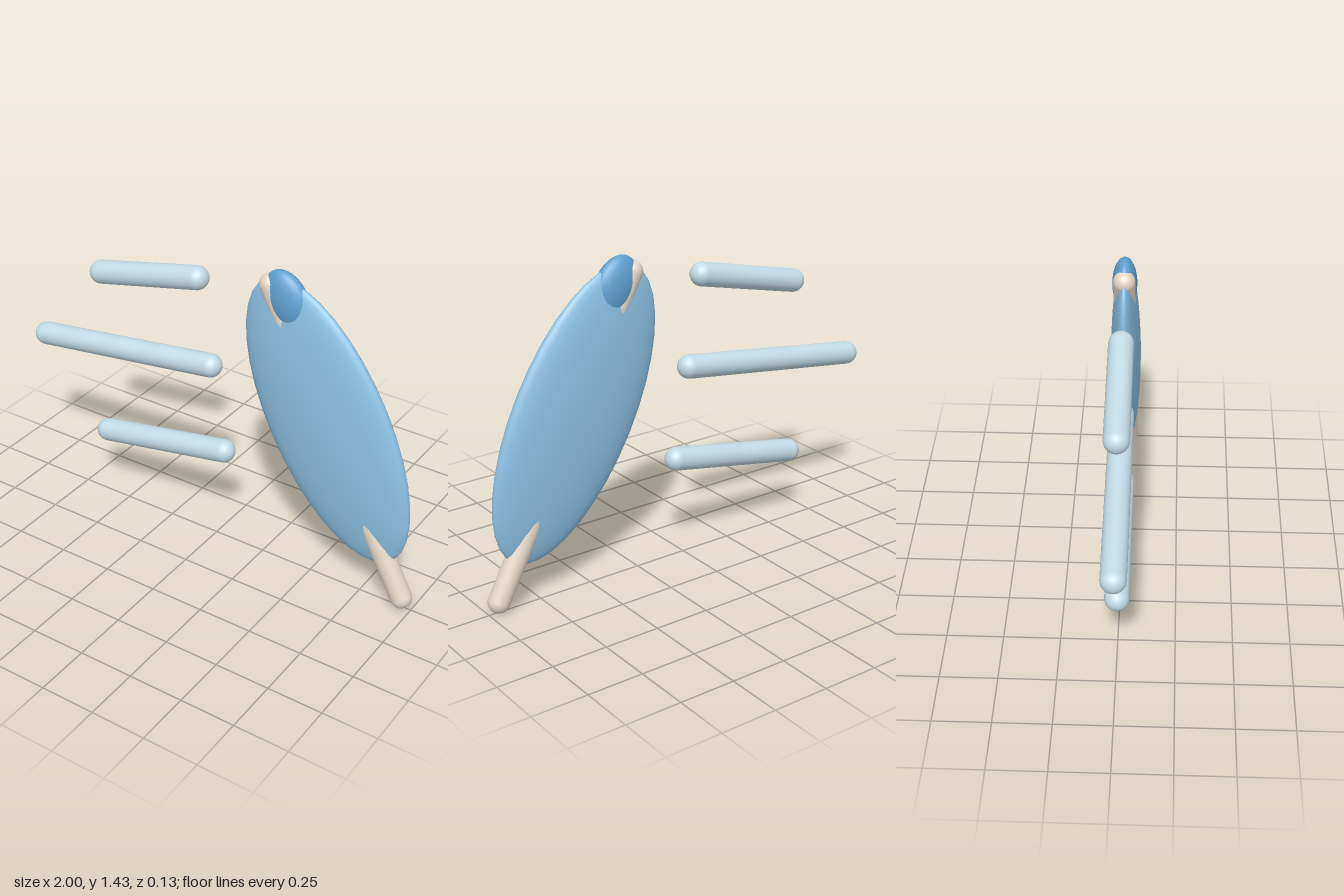
import * as THREE from 'three';

const mat = (name, color) => {
  const m = new THREE.MeshStandardMaterial({ color });
  m.name = name;
  return m;
};

export function createModel() {
  const vaneBlue = mat('vane blue', 0x8abfe2);
  const tipBlue = mat('tip blue', 0x5f9fd0);
  const shaftCream = mat('shaft cream', 0xe4d8c6);
  const windBlue = mat('pale wind blue', 0xc6dfea);

  const model = new THREE.Group();
  model.name = 'featherWithWindLines';
  const tilt = 0.477;

  // Flattened, tilted ellipsoid
  const ellipsoid = (name, material, x, y, sx, sy, sz) => {
    const mesh = new THREE.Mesh(new THREE.SphereGeometry(1, 28, 18), material);
    mesh.name = name;
    mesh.scale.set(sx, sy, sz);
    mesh.rotation.z = tilt;
    mesh.position.set(x, y, 0);
    model.add(mesh);
  };

  // Round-ended rod between the centres of its two caps
  const rod = (name, material, x1, y1, x2, y2, radius) => {
    const length = Math.hypot(x2 - x1, y2 - y1);
    const mesh = new THREE.Mesh(new THREE.CapsuleGeometry(radius, length, 8, 20), material);
    mesh.name = name;
    mesh.position.set((x1 + x2) / 2, (y1 + y2) / 2, 0);
    mesh.rotation.z = Math.atan2(y2 - y1, x2 - x1) - Math.PI / 2;
    model.add(mesh);
  };

  // Feather: vane, darker tip and the shaft running through both
  ellipsoid('vane', vaneBlue, 0.555, 0.79, 0.303, 0.666, 0.067);
  ellipsoid('darkTip', tipBlue, 0.345, 1.3, 0.1, 0.14, 0.054);
  rod('shaft', shaftCream, 0.95, 0.048, 0.262, 1.355, 0.048);

  // Wind lines trailing beside the feather
  const lines = [
    [-0.607, 1.165, -0.1, 1.28],
    [-0.947, 0.753, -0.033, 0.877],
    [-0.607, 0.343, 0.037, 0.462],
  ];
  lines.forEach((p, i) => rod(`windLine${i + 1}`, windBlue, ...p, 0.053));

  return model;
}
